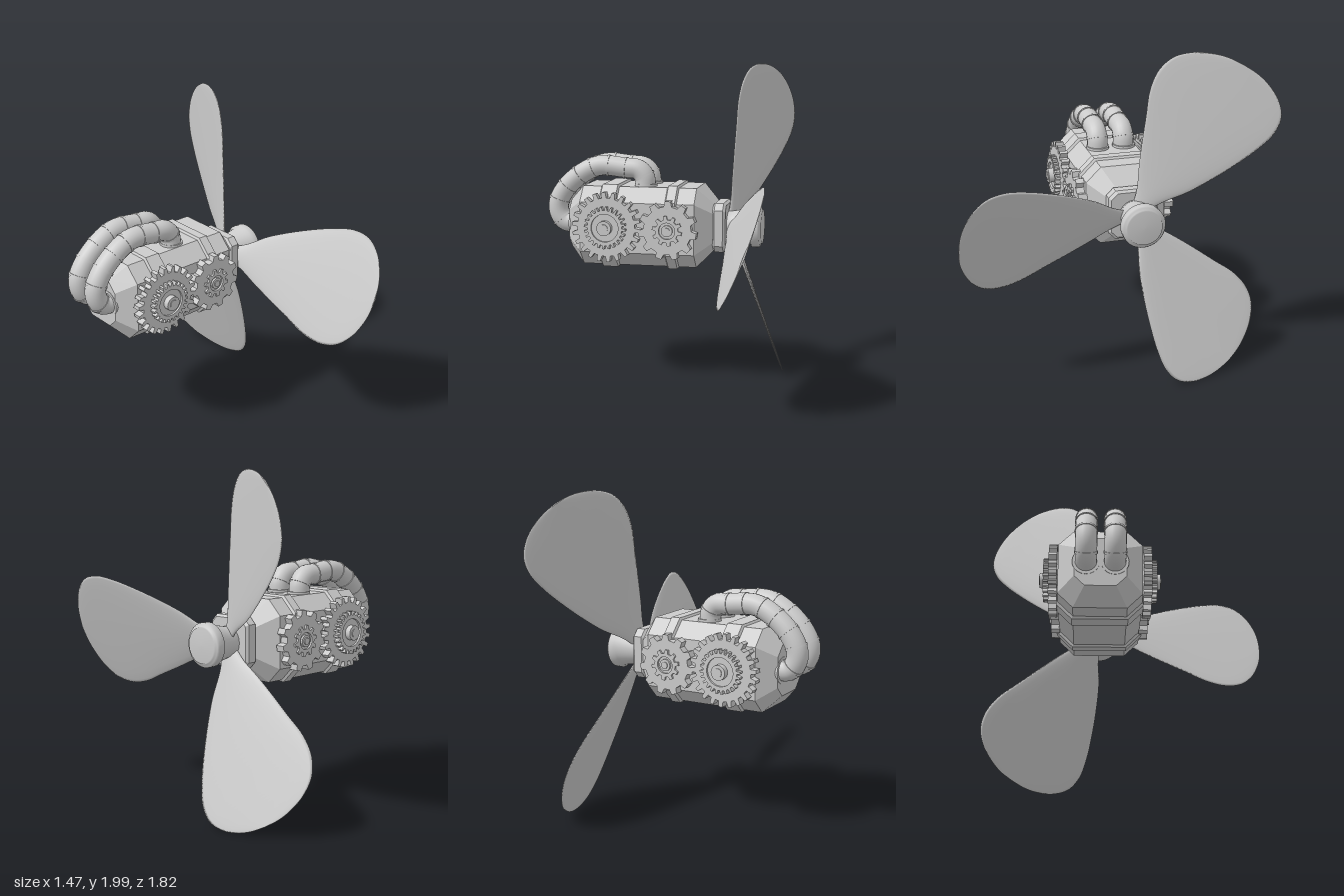
import * as THREE from 'three';

const AXIS_Y = 1.0, AXIS_Z = -0.165;
const smooth = new THREE.MeshStandardMaterial({ color: 0xcccccc });
const faceted = new THREE.MeshStandardMaterial({ color: 0xcccccc, flatShading: true });

function add(parent, name, geometry, material = smooth) {
  const mesh = new THREE.Mesh(geometry, material);
  mesh.name = name;
  parent.add(mesh);
  return mesh;
}

// Skin a row of closed rings (each counter-clockwise about the loft axis) and cap both ends
function loft(rings) {
  const n = rings[0].length, last = (rings.length - 1) * n, index = [];
  for (let s = 0; s < rings.length - 1; s++) {
    for (let i = 0; i < n; i++) {
      const a = s * n + i, b = s * n + (i + 1) % n;
      index.push(a, b, b + n, a, b + n, a + n);
    }
  }
  for (let i = 1; i < n - 1; i++) index.push(0, i + 1, i, last, last + i, last + i + 1);
  const g = new THREE.BufferGeometry().setFromPoints(rings.flat());
  g.setIndex(index);
  g.computeVertexNormals();
  return g;
}

// Chamfered-square section across the x axis: half size h, half flat width c
function section([x, h, c]) {
  return [[h, -c], [h, c], [c, h], [-c, h], [-h, c], [-h, -c], [-c, -h], [c, -h]]
    .map(([y, z]) => new THREE.Vector3(x, y, z));
}

// Toothed wheel extruded along +z
function gearGeometry(teeth, root, tip, depth, bore = 0) {
  const pts = [], step = (Math.PI * 2) / teeth;
  for (let i = 0; i < teeth; i++) {
    for (const [f, r] of [[0, root], [0.42, root], [0.54, tip], [0.88, tip]]) {
      const a = (i + f) * step;
      pts.push(new THREE.Vector2(Math.cos(a) * r, Math.sin(a) * r));
    }
  }
  const shape = new THREE.Shape(pts);
  if (bore) shape.holes.push(new THREE.Path().absarc(0, 0, bore, 0, Math.PI * 2, true));
  return new THREE.ExtrudeGeometry(shape, { depth, bevelEnabled: false, curveSegments: 24 });
}

function disc(radius, depth, z) {
  return new THREE.CylinderGeometry(radius, radius, depth, 28).rotateX(Math.PI / 2).translate(0, 0, z);
}

// Gear pair on one side of the casing, measured outward from the axis
function makeGears() {
  const side = new THREE.Group();
  const big = new THREE.Group();
  big.name = 'largeGear';
  big.position.set(-0.31, 0.01, 0.25);
  add(big, 'largeGearWheel', gearGeometry(22, 0.18, 0.215, 0.05), faceted);
  add(big, 'largeGearShaft', disc(0.1, 0.03, -0.01));
  add(big, 'innerGearRing', gearGeometry(24, 0.108, 0.13, 0.033, 0.085).translate(0, 0, 0.05), faceted);
  add(big, 'innerGearPlate', disc(0.088, 0.02, 0.06));
  add(big, 'gearBoss', disc(0.045, 0.05, 0.08));
  add(big, 'gearPin', disc(0.026, 0.02, 0.1));

  const small = new THREE.Group();
  small.name = 'smallGear';
  small.position.set(0.07, 0, 0.24);
  add(small, 'smallGearWheel', gearGeometry(11, 0.148, 0.18, 0.055), faceted);
  add(small, 'smallInnerGear', gearGeometry(10, 0.07, 0.092, 0.013, 0.05).translate(0, 0, 0.055), faceted);
  add(small, 'smallGearBoss', disc(0.035, 0.02, 0.058));
  add(small, 'smallGearPin', disc(0.02, 0.03, 0.06));
  side.add(big, small);
  return side;
}

// Bent exhaust pipe with raised joints and a flange at each end
function makePipe() {
  const pipe = new THREE.Group();
  pipe.name = 'exhaustPipe';
  const path = new THREE.CatmullRomCurve3([
    [-0.11, 0.22], [-0.115, 0.3], [-0.155, 0.345], [-0.24, 0.355], [-0.4, 0.365], [-0.5, 0.325],
    [-0.615, 0.23], [-0.672, 0.13], [-0.668, 0.06], [-0.63, 0.01], [-0.55, 0.0],
  ].map(([x, y]) => new THREE.Vector3(x, y, 0)));
  add(pipe, 'pipeTube', new THREE.TubeGeometry(path, 64, 0.063, 20));
  const up = new THREE.Vector3(0, 1, 0);
  for (const u of [0.09, 0.23, 0.34, 0.45, 0.55, 0.66, 0.76, 0.89]) {
    const joint = add(pipe, 'pipeJoint', new THREE.CylinderGeometry(0.067, 0.067, 0.014, 20));
    joint.position.copy(path.getPointAt(u));
    joint.quaternion.setFromUnitVectors(up, path.getTangentAt(u));
  }
  add(pipe, 'topFlange', new THREE.CylinderGeometry(0.07, 0.07, 0.02, 20).translate(-0.105, 0.25, 0));
  add(pipe, 'endFlange', new THREE.CylinderGeometry(0.08, 0.08, 0.025, 20).rotateZ(Math.PI / 2).translate(-0.575, 0, 0));
  return pipe;
}

// Raked, pitched blade reaching out along +z with a lens-shaped section
function bladeGeometry() {
  // radius, leading half width, trailing half width
  const outline = new THREE.CatmullRomCurve3([
    [0.05, 0.04, 0.04], [0.15, 0.085, 0.075], [0.27, 0.16, 0.135], [0.4, 0.22, 0.195],
    [0.55, 0.278, 0.26], [0.7, 0.325, 0.325], [0.82, 0.345, 0.345], [0.92, 0.325, 0.322],
    [1.0, 0.255, 0.25], [1.05, 0.16, 0.155], [1.07, 0.08, 0.08], [1.075, 0.008, 0.008],
  ].map((p) => new THREE.Vector3(...p)));
  const sides = 20;
  const rings = outline.getPoints(55).map(({ x: r, y: lead, z: trail }) => {
    const mid = (lead - trail) / 2, half = (lead + trail) / 2;
    const thick = 0.006 + 0.014 * (1 - r / 1.08);
    const rake = 0.43 + 0.22 * (r - 0.1);
    return Array.from({ length: sides }, (_, i) => {
      const a = (i / sides) * Math.PI * 2;
      const t = mid + half * Math.sin(a);
      return new THREE.Vector3(rake + 0.37 * t + thick * Math.cos(a), t, r);
    });
  });
  return loft(rings);
}

export function createModel() {
  const model = new THREE.Group();
  model.name = 'propellerEngine';
  const engine = new THREE.Group();
  engine.name = 'engine';
  engine.position.set(0, AXIS_Y, AXIS_Z);
  model.add(engine);

  // Casing and the straps around it
  const body = [[-0.585, 0.15, 0.09], [-0.49, 0.245, 0.155], [0.225, 0.245, 0.155], [0.325, 0.145, 0.09]];
  add(engine, 'casing', loft(body.map(section)), faceted);
  for (const [x, w, h] of [[-0.315, 0.06, 0.258], [0.08, 0.04, 0.258]]) {
    const strap = [[x - w, 0.24, 0.152], [x - w + 0.012, h, 0.163], [x + w - 0.012, h, 0.163], [x + w, 0.24, 0.152]];
    add(engine, 'strap', loft(strap.map(section)), faceted);
  }

  // Collar between casing and hub
  const collar = [[0.318, 0.138, 0.1], [0.333, 0.152, 0.11], [0.385, 0.152, 0.11], [0.4, 0.138, 0.1]];
  add(engine, 'collar', loft(collar.map(section)), faceted);

  // Gears on both sides
  const frontGears = makeGears();
  frontGears.name = 'frontGears';
  const backGears = makeGears();
  backGears.name = 'backGears';
  backGears.scale.z = -1;
  engine.add(frontGears, backGears);

  // Twin exhaust pipes
  for (const s of [-1, 1]) {
    const pipe = makePipe();
    pipe.position.z = s * 0.083;
    engine.add(pipe);
  }

  // Hub turned about the x axis
  const propeller = new THREE.Group();
  propeller.name = 'propeller';
  engine.add(propeller);
  const profile = [[0, 0.38], [0.088, 0.38], [0.092, 0.43], [0.115, 0.545], [0.13, 0.552], [0.13, 0.592],
    [0.122, 0.602], [0.108, 0.604], [0.104, 0.614], [0, 0.616]];
  const hub = new THREE.LatheGeometry(profile.map(([r, y]) => new THREE.Vector2(r, y)), 36);
  add(propeller, 'hub', hub.rotateZ(-Math.PI / 2));

  // Three blades
  const blade = bladeGeometry();
  for (let i = 0; i < 3; i++) add(propeller, 'blade', blade).rotation.x = (-i * Math.PI * 2) / 3;

  return model;
}
